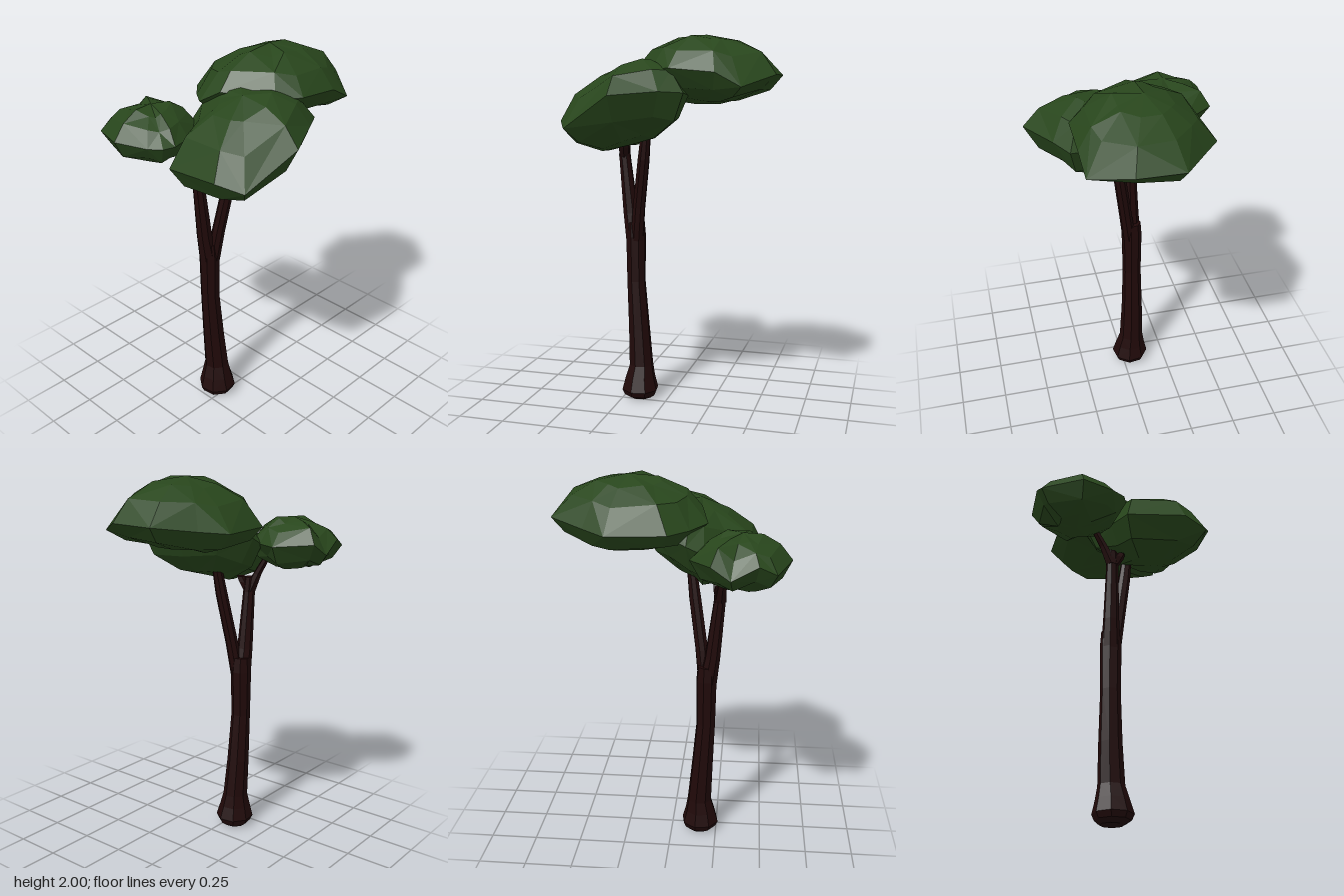
import * as THREE from 'three';

const bark = new THREE.MeshStandardMaterial({ color: 0x200909, flatShading: true });
bark.name = 'darkBark';
const leaf = new THREE.MeshStandardMaterial({ color: 0x28461c, flatShading: true });
leaf.name = 'leafGreen';

function seeded(seed) {
  let s = seed;
  return () => (s = (s * 16807) % 2147483647) / 2147483647;
}

// Skin a stack of closed rings, listed top to bottom, and cap both ends
function loft(rings, top, bottom) {
  const pos = [];
  const n = rings[0].length;
  const tri = (...corners) => corners.forEach((p) => pos.push(p[0], p[1], p[2]));
  for (let j = 0; j < n; j++) {
    const k = (j + 1) % n;
    tri(top, rings[0][k], rings[0][j]);
    for (let i = 0; i < rings.length - 1; i++) {
      const u = rings[i], l = rings[i + 1];
      if ((i + j) % 2) {
        tri(u[j], u[k], l[k]);
        tri(u[j], l[k], l[j]);
      } else {
        tri(u[j], u[k], l[j]);
        tri(u[k], l[k], l[j]);
      }
    }
    const last = rings[rings.length - 1];
    tri(bottom, last[j], last[k]);
  }
  const g = new THREE.BufferGeometry();
  g.setAttribute('position', new THREE.Float32BufferAttribute(pos, 3));
  g.computeVertexNormals();
  return g;
}

// Tapered limb through stations [x, y, z, radius], listed top to bottom
function limb(name, stations, sides = 8) {
  const rings = stations.map(([x, y, z, r]) => Array.from({ length: sides }, (_, j) => {
    const a = ((j + 0.3) / sides) * Math.PI * 2;
    return [x + r * Math.cos(a), y, z + r * Math.sin(a)];
  }));
  const end = stations[stations.length - 1];
  const mesh = new THREE.Mesh(loft(rings, stations[0], end), bark);
  mesh.name = name;
  return mesh;
}

// Faceted leaf clump: a plan outline [x, z, rim lift], domed above and below a tilted rim
function clump(name, { outline, centre, up, down, tilt, seed }) {
  const rand = seeded(seed);
  const [cx, cy, cz] = centre;
  const layers = [[0.42, 0.87 * up], [0.76, 0.55 * up], [1, 0], [0.8, -0.6 * down], [0.42, -0.94 * down]];
  const rings = layers.map(([scale, h]) => outline.map(([x, z, lift = 0]) => {
    const rim = scale === 1;
    const s = rim ? 1 : scale * (0.95 + 0.1 * rand());
    const dx = (x - cx) * s, dz = (z - cz) * s;
    const wobble = rim ? 0 : (rand() - 0.5) * 0.03;
    return [cx + dx, cy + h + wobble + lift * s * s + tilt[0] * dx + tilt[1] * dz, cz + dz];
  }));
  const mesh = new THREE.Mesh(loft(rings, [cx, cy + up, cz], [cx, cy - down, cz]), leaf);
  mesh.name = name;
  return mesh;
}

export function createModel() {
  const tree = new THREE.Group();
  tree.name = 'tree';

  // Trunk with flared foot
  tree.add(limb('trunk', [
    [-0.186, 1.0, -0.062, 0.05], [-0.185, 0.92, -0.062, 0.056], [-0.185, 0.67, -0.063, 0.052],
    [-0.168, 0.4, -0.06, 0.06], [-0.155, 0.19, -0.053, 0.068], [-0.16, 0.12, -0.048, 0.085],
    [-0.16, 0.05, -0.045, 0.104], [-0.16, 0.02, -0.045, 0.09], [-0.155, 0, -0.05, 0.06],
  ]));

  // Branches and the small fork
  tree.add(limb('rearBranch', [
    [-0.25, 1.44, -0.07, 0.03], [-0.247, 1.36, -0.065, 0.032], [-0.215, 1.05, -0.065, 0.042],
    [-0.187, 0.88, -0.062, 0.052],
  ]));
  tree.add(limb('frontBranch', [
    [-0.092, 1.53, 0.042, 0.026], [-0.115, 1.35, 0.02, 0.033], [-0.155, 1.08, -0.02, 0.035],
    [-0.175, 0.9, -0.045, 0.037],
  ]));
  tree.add(limb('forkTwig', [
    [-0.27, 1.54, -0.155, 0.02], [-0.26, 1.46, -0.11, 0.024], [-0.25, 1.36, -0.065, 0.034],
  ], 6));
  tree.add(limb('forkStub', [
    [-0.235, 1.44, -0.02, 0.026], [-0.242, 1.41, -0.035, 0.032], [-0.25, 1.35, -0.062, 0.025],
  ], 6));

  // Leaf clumps
  tree.add(clump('upperClump', {
    outline: [[0, -0.325, -0.04], [0.3, -0.355, -0.04], [0.42, -0.26, -0.03], [0.6, -0.125, -0.01],
      [0.6, 0.11, -0.02], [0.46, 0.3, -0.09], [0.33, 0.31, -0.02], [0.1, 0.31], [-0.01, 0.23],
      [-0.15, 0, 0.03], [-0.185, -0.11, -0.03], [-0.1, -0.22, -0.04]],
    centre: [0.22, 1.81, -0.02], up: 0.19, down: 0.15, tilt: [0, 0.05], seed: 11,
  }));
  tree.add(clump('frontClump', {
    outline: [[-0.475, -0.02], [-0.3, -0.08], [-0.17, -0.2, 0.03], [-0.08, -0.21, 0.05],
      [0.06, -0.1, 0.05], [0.15, 0.1, -0.02], [0.18, 0.32, -0.03], [0.07, 0.385],
      [-0.15, 0.5, 0.03], [-0.41, 0.415, -0.06], [-0.475, 0.285]],
    centre: [-0.14, 1.64, 0.14], up: 0.22, down: 0.2, tilt: [0.26, 0.08], seed: 47,
  }));
  tree.add(clump('rearClump', {
    outline: [[-0.6, -0.265, 0.01], [-0.525, -0.47, -0.01], [-0.44, -0.49, 0.03], [-0.31, -0.505, -0.04],
      [-0.215, -0.49, 0.02], [-0.105, -0.31], [-0.15, -0.2], [-0.17, -0.13], [-0.32, -0.05],
      [-0.43, -0.02], [-0.49, -0.04], [-0.535, -0.1]],
    centre: [-0.36, 1.635, -0.27], up: 0.135, down: 0.13, tilt: [0.02, 0.02], seed: 83,
  }));
  return tree;
}
